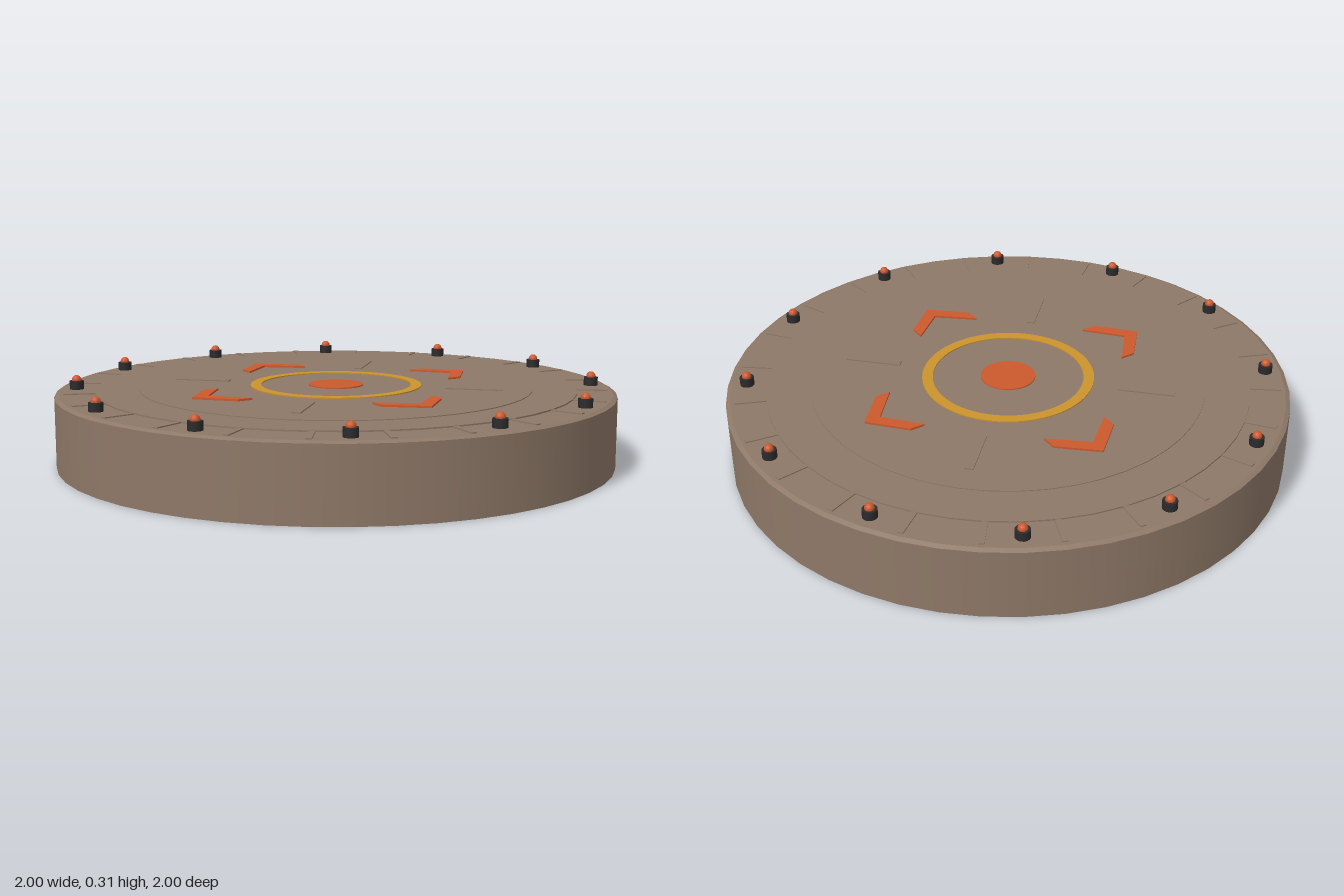
import * as THREE from 'three';

const mat = (name, color) => {
  const m = new THREE.MeshStandardMaterial({ color });
  m.name = name;
  return m;
};

export function createModel() {
  const brown = mat('brown plating', 0x8e7867);
  const orange = mat('signal orange', 0xcb582d);
  const yellow = mat('marker yellow', 0xcb932d);
  const dark = mat('dark metal', 0x2b2b2d);

  const root = new THREE.Group();
  root.name = 'landingPad';

  const add = (name, geometry, material, parent = root) => {
    const mesh = new THREE.Mesh(geometry, material);
    mesh.name = name;
    parent.add(mesh);
    return mesh;
  };
  // Upright cylinder standing on a given height
  const disc = (radius, bottom, top, segments = 48) =>
    new THREE.CylinderGeometry(radius, radius, top - bottom, segments).translate(0, (top + bottom) / 2, 0);
  // Flat shape laid on the deck; shape +y points to -z
  const plate = (shape, bottom, depth) =>
    new THREE.ExtrudeGeometry(shape, { depth, bevelEnabled: false, curveSegments: 48 })
      .rotateX(-Math.PI / 2).translate(0, bottom, 0);

  const RIM = 0.257, DECK = 0.262, INNER = 0.265;

  // Drum with a small chamfer, and two low steps on top
  add('drum', disc(1, 0, 0.25), brown);
  add('chamfer', new THREE.CylinderGeometry(0.985, 1, RIM - 0.25, 48).translate(0, (RIM + 0.25) / 2, 0), brown);
  add('outerDeck', disc(0.86, 0.25, DECK), brown);
  add('innerDeck', disc(0.705, 0.25, INNER), brown);

  // Ribs around the rim
  for (let i = 0; i < 24; i++) {
    const rib = add('rimRib', new THREE.BoxGeometry(0.11, 0.006, 0.02).translate(0.915, RIM + 0.001, 0), brown);
    rib.rotation.y = (i + 0.5) * Math.PI / 12;
  }

  // Diagonal deck ribs
  for (let i = 0; i < 4; i++) {
    const rib = add('deckRib', new THREE.BoxGeometry(0.2, 0.006, 0.03).translate(0.5, INNER + 0.001, 0), brown);
    rib.rotation.y = (i + 0.5) * Math.PI / 2;
  }

  // Centre target: dot and ring
  add('centreDot', disc(0.098, INNER - 0.002, INNER + 0.004), orange);
  const ring = new THREE.Shape().absarc(0, 0, 0.308, 0, Math.PI * 2, false);
  ring.holes.push(new THREE.Path().absarc(0, 0, 0.27, 0, Math.PI * 2, true));
  add('targetRing', plate(ring, INNER - 0.002, 0.006), yellow);

  // Four outward chevrons
  const chevron = new THREE.Shape([
    [0, 0.58], [-0.123, 0.47], [-0.123, 0.415], [0, 0.52], [0.123, 0.415], [0.123, 0.47],
  ].map(([x, y]) => new THREE.Vector2(x, y)));
  for (let i = 0; i < 4; i++) {
    add('chevron', plate(chevron, INNER - 0.002, 0.009), orange).rotation.y = i * Math.PI / 2;
  }

  // Twelve edge lamps
  for (let i = 0; i < 12; i++) {
    const lamp = new THREE.Group();
    lamp.name = 'edgeLamp';
    const a = i * Math.PI / 6;
    lamp.position.set(0.93 * Math.cos(a), 0, 0.93 * Math.sin(a));
    add('lampBase', disc(0.025, 0.25, 0.287, 16), dark, lamp);
    add('lampBulb', new THREE.SphereGeometry(0.017, 12, 8).translate(0, 0.29, 0), orange, lamp);
    root.add(lamp);
  }

  return root;
}
